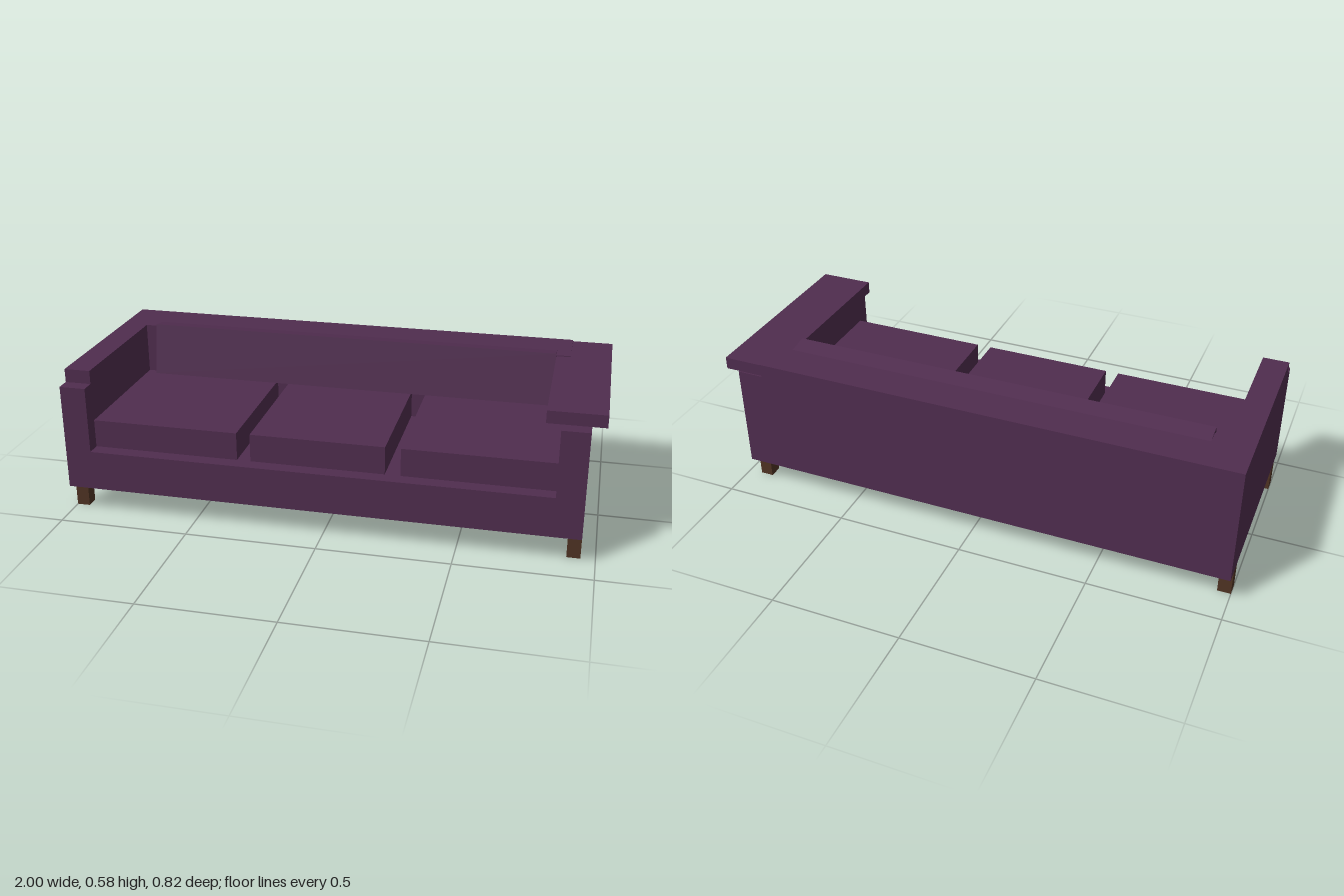
import * as THREE from 'three';

export function createModel() {
  const sofa = new THREE.Group();
  sofa.name = 'sofa';

  const fabric = new THREE.MeshStandardMaterial({ color: 0x502d4f });
  fabric.name = 'plum fabric';
  const wood = new THREE.MeshStandardMaterial({ color: 0x4f3323 });
  wood.name = 'dark wood';

  // Box given by its limits on each axis
  function box(name, material, [x0, x1], [y0, y1], [z0, z1]) {
    const mesh = new THREE.Mesh(new THREE.BoxGeometry(x1 - x0, y1 - y0, z1 - z0), material);
    mesh.position.set((x0 + x1) / 2, (y0 + y1) / 2, (z0 + z1) / 2);
    mesh.name = name;
    sofa.add(mesh);
    return mesh;
  }

  // Frame: seat base and both arms as one U-shaped profile
  const profile = new THREE.Shape([
    [-1, 0.103], [0.947, 0.103], [0.947, 0.513], [0.845, 0.513],
    [0.845, 0.257], [-0.9, 0.257], [-0.9, 0.513], [-1, 0.513],
  ].map(([x, y]) => new THREE.Vector2(x, y)));
  const frame = new THREE.Mesh(
    new THREE.ExtrudeGeometry(profile, { depth: 0.82, bevelEnabled: false }), fabric);
  frame.position.z = -0.41;
  frame.name = 'frame';
  sofa.add(frame);

  // Backrest between the arms, with a raised rail running over the right arm
  box('backrest', fabric, [-0.9, 0.845], [0.257, 0.565], [-0.41, -0.21]);
  box('rightArmRail', fabric, [-1, -0.9], [0.513, 0.565], [-0.41, 0.357]);

  // Wide overhanging cap on the left arm
  box('leftArmCap', fabric, [0.79, 1], [0.514, 0.561], [-0.406, 0.357]);

  // Three seat cushions
  [[-0.9, -0.335], [-0.283, 0.227], [0.285, 0.845]].forEach((span, i) => {
    box('seatCushion' + (i + 1), fabric, span, [0.257, 0.365], [-0.21, 0.355]);
  });

  // Long back cushion, leaning back about its lower front edge
  const cushion = new THREE.Mesh(
    new THREE.BoxGeometry(1.64, 0.206, 0.1).translate(0, 0.103, -0.05), fabric);
  cushion.position.set(-0.03, 0.374, -0.158);
  cushion.rotation.x = -0.165;
  cushion.name = 'backCushion';
  sofa.add(cushion);

  // Four square legs, flush with the sides
  for (const x of [-1, 0.897]) {
    for (const z of [-0.358, 0.308]) {
      box('leg', wood, [x, x + 0.05], [0, 0.103], [z, z + 0.05]);
    }
  }

  return sofa;
}
